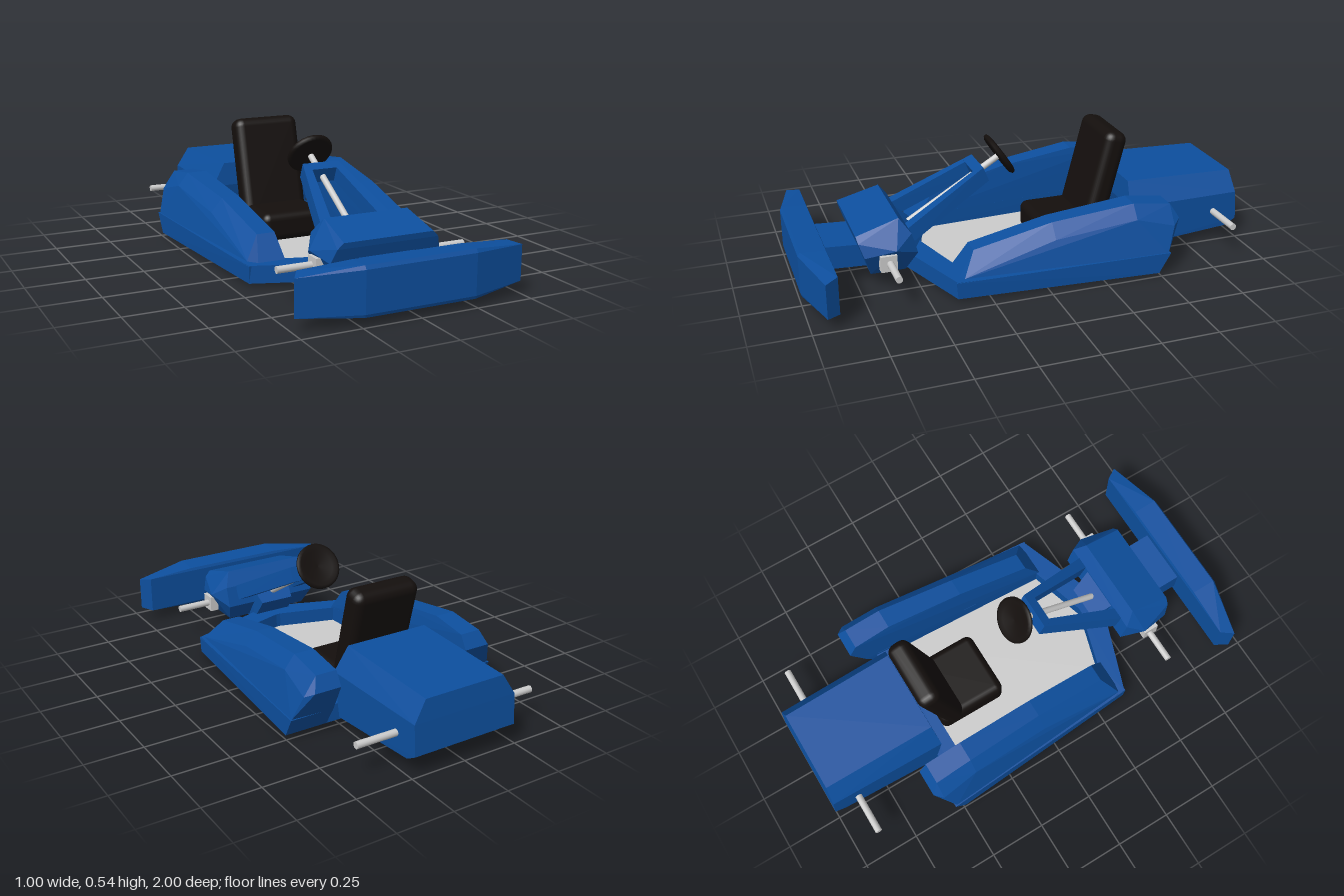
import * as THREE from 'three';
import { ConvexGeometry } from 'three/addons/geometries/ConvexGeometry.js';
import { RoundedBoxGeometry } from 'three/addons/geometries/RoundedBoxGeometry.js';

const blue = new THREE.MeshStandardMaterial({ color: 0x0d4f9e, flatShading: true });
const black = new THREE.MeshStandardMaterial({ color: 0x140f0d });
const grey = new THREE.MeshStandardMaterial({ color: 0xcccccc });

export function createModel() {
  const group = new THREE.Group();

  const add = (name, geometry, material) => {
    const mesh = new THREE.Mesh(geometry, material);
    mesh.name = name;
    group.add(mesh);
    return mesh;
  };

  // Faceted solid around [x, y, z] corners
  const hull = (name, corners, material = blue) =>
    add(name, new ConvexGeometry(corners.map((c) => new THREE.Vector3(...c))), material);

  // Faceted solid that is the same on both sides
  const mirroredHull = (name, corners, material) =>
    hull(name, corners.flatMap(([x, y, z]) => [[x, y, z], [-x, y, z]]), material);

  // Round bar between two points
  const rod = (name, from, to, radius, sides = 12) => {
    const a = new THREE.Vector3(...from);
    const b = new THREE.Vector3(...to);
    const mesh = add(name, new THREE.CylinderGeometry(radius, radius, a.distanceTo(b), sides), grey);
    mesh.position.copy(a).lerp(b, 0.5);
    mesh.quaternion.setFromUnitVectors(new THREE.Vector3(0, 1, 0), b.sub(a).normalize());
    return mesh;
  };

  // Flat outline in [x, z], symmetric about x = 0
  const outline = (half, Type) => new Type([
    ...half.map(([x, z]) => new THREE.Vector2(x, -z)),
    ...half.slice().reverse().map(([x, z]) => new THREE.Vector2(-x, -z)),
  ]);
  const slab = (name, shape, y, depth, material) => {
    const geometry = new THREE.ExtrudeGeometry(shape, { depth, bevelEnabled: false });
    geometry.rotateX(-Math.PI / 2);
    add(name, geometry, material).position.y = y;
  };

  // Floor frame and tray
  const frame = outline([[0.03, 0.535], [0.435, 0.39], [0.495, -0.49]], THREE.Shape);
  frame.holes.push(outline([[0.01, 0.43], [0.265, 0.355], [0.305, -0.4]], THREE.Path));
  slab('floorFrame', frame, 0.015, 0.075, blue);
  slab('floorTray', outline([[0.01, 0.47], [0.285, 0.385], [0.335, -0.41]], THREE.Shape), 0, 0.025, grey);

  for (const s of [1, -1]) {
    const side = s > 0 ? 'left' : 'right';

    // Side pod: rising body above a lower skirt
    hull(side + 'SidePod', [
      [0.265, 0.09, 0.37], [0.385, 0.09, 0.37],
      [0.28, 0.19, 0.3], [0.36, 0.19, 0.3], [0.43, 0.1, 0.36],
      [0.295, 0.27, -0.04], [0.375, 0.27, -0.04], [0.425, 0.21, -0.04],
      [0.31, 0.313, -0.4], [0.4, 0.313, -0.4], [0.445, 0.255, -0.4],
      [0.31, 0.29, -0.57], [0.405, 0.29, -0.57], [0.46, 0.21, -0.57],
      [0.31, 0.23, -0.605], [0.43, 0.23, -0.605],
      [0.305, 0.09, -0.535], [0.495, 0.1, -0.53],
    ].map(([x, y, z]) => [s * x, y, z]));
    hull(side + 'Skirt', [
      [0.265, 0.02, 0.37], [0.435, 0.015, 0.39], [0.265, 0.09, 0.37], [0.437, 0.088, 0.395],
      [0.305, 0.015, -0.49], [0.497, 0.015, -0.49], [0.305, 0.104, -0.54], [0.5, 0.104, -0.54],
    ].map(([x, y, z]) => [s * x, y, z]));

    // Sloping leg that carries the steering column
    hull(side + 'SteeringStrut', [
      [0.12, 0.24, 0.53], [0.175, 0.24, 0.53], [0.12, 0.18, 0.5], [0.175, 0.18, 0.5],
      [0.05, 0.433, 0.165], [0.085, 0.433, 0.165], [0.05, 0.37, 0.14], [0.085, 0.37, 0.14],
    ].map(([x, y, z]) => [s * x, y, z]));

    // Axle stubs and front hub block
    rod(side + 'FrontAxle', [s * 0.24, 0.14, 0.63], [s * 0.425, 0.14, 0.63], 0.015);
    rod(side + 'RearAxle', [s * 0.2, 0.14, -0.88], [s * 0.425, 0.14, -0.88], 0.015);
    const hub = add(side + 'HubBlock', new THREE.BoxGeometry(0.04, 0.07, 0.07), grey);
    hub.position.set(s * 0.255, 0.14, 0.635);
  }

  // Rear engine cover
  mirroredHull('engineCover', [
    [0.25, 0.22, -0.46], [0.19, 0.325, -0.47], [0.25, 0.03, -0.5],
    [0.24, 0.22, -0.99], [0.185, 0.31, -0.98],
    [0.24, 0.06, -0.95], [0.24, 0.09, -1],
  ]);

  // Nose block with its mount, neck and bumper
  mirroredHull('noseBlock', [
    [0.19, 0.303, 0.57], [0.2, 0.25, 0.755], [0.225, 0.225, 0.75],
    [0.225, 0.24, 0.525], [0.27, 0.19, 0.6], [0.245, 0.165, 0.73],
    [0.2, 0.07, 0.7], [0.2, 0.07, 0.55], [0.225, 0.15, 0.5],
  ]);
  mirroredHull('noseMount', [
    [0.08, 0.16, 0.44], [0.09, 0.065, 0.5], [0.1, 0.24, 0.53],
    [0.1, 0.24, 0.6], [0.1, 0.065, 0.6],
  ]);
  mirroredHull('neck', [
    [0.125, 0.175, 0.7], [0.125, 0.075, 0.7], [0.125, 0.187, 0.9], [0.125, 0.085, 0.9],
  ]);
  mirroredHull('frontBumper', [
    [0.24, 0.235, 0.99], [0.24, 0.037, 0.995], [0.24, 0.22, 1], [0.24, 0.05, 1],
    [0.24, 0.228, 0.885], [0.24, 0.04, 0.885],
    [0.46, 0.215, 0.88], [0.46, 0.05, 0.88], [0.495, 0.205, 0.935], [0.495, 0.055, 0.935],
  ]);

  // Steering crossbar, column and dished wheel
  mirroredHull('steeringCrossbar', [
    [0.08, 0.433, 0.165], [0.08, 0.37, 0.14], [0.08, 0.412, 0.205], [0.08, 0.35, 0.18],
  ]);
  rod('steeringColumn', [0, 0.185, 0.5], [0, 0.445, 0.07], 0.014);
  const wheelProfile = [[0, -0.012], [0.09, -0.012], [0.103, -0.004], [0.103, 0.008], [0.09, 0.014], [0.07, 0.006], [0, 0.002]];
  const wheel = add('steeringWheel', new THREE.LatheGeometry(wheelProfile.map((p) => new THREE.Vector2(...p)), 32), black);
  wheel.position.set(0, 0.453, 0.066);
  wheel.rotation.x = -0.99;

  // Seat cushion and leaning backrest
  const cushion = add('seatCushion', new RoundedBoxGeometry(0.31, 0.13, 0.32, 3, 0.035), black);
  cushion.position.set(0, 0.09, -0.24);
  const backrest = add('seatBackrest', new RoundedBoxGeometry(0.315, 0.5, 0.105, 3, 0.04), black);
  backrest.position.set(0, 0.295, -0.378);
  backrest.rotation.x = -0.25;

  return group;
}
